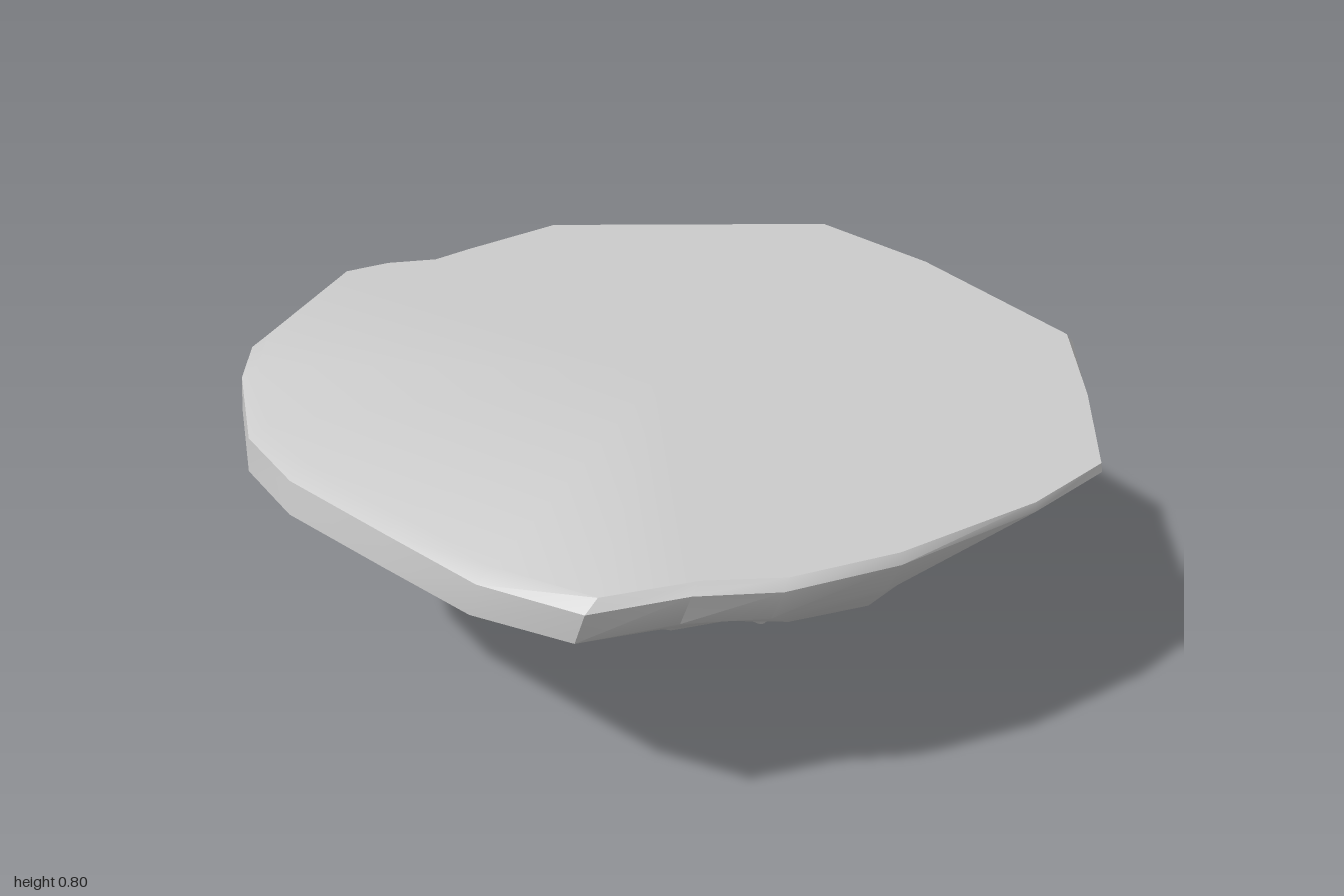
import * as THREE from 'three';
import { toCreasedNormals } from 'three/addons/utils/BufferGeometryUtils.js';

// Rim outline of the plateau, [x, z], running from the right side round the front
const RIM = [
  [1, -0.17], [1, 0.12], [1, 0.4], [0.8, 0.68], [0.58, 0.95], [0.33, 1], [-0.06, 1], [-0.33, 0.95],
  [-0.5, 0.86], [-0.72, 0.8], [-0.85, 0.58], [-0.92, 0.3], [-1, -0.03], [-1, -0.27], [-0.89, -0.58],
  [-0.8, -0.73], [-0.43, -1], [-0.3, -0.99], [-0.17, -0.94], [-0.05, -0.955], [0.25, -0.98],
  [0.6, -0.76], [0.93, -0.55],
];

// Cross-sections from plateau to tip:
// y, xMin, xMax, zMin, zMax, centre x, centre z, then the hollowing of
// the front-right wall, the back-right wall and the right corner
const LEVELS = [
  [0.80, -0.94, 0.98, -0.99, 0.99, 0, 0, 1, 1, 1],
  [0.775, -0.99, 1.00, -1.00, 1.00, 0, 0, 0.99, 0.98, 1],
  [0.69, -1.00, 1.00, -1.00, 0.96, 0, 0, 0.9, 0.88, 0.99],
  [0.60, -0.68, 0.95, -0.90, 0.88, 0, 0, 0.86, 0.8, 0.94],
  [0.51, -0.49, 0.88, -0.77, 0.75, 0.05, 0, 0.84, 0.84, 0.84],
  [0.41, -0.46, 0.69, -0.53, 0.61, 0.10, 0.02, 0.84, 0.82, 0.78],
  [0.33, -0.43, 0.61, -0.42, 0.44, 0.14, 0.03, 0.88, 0.84, 0.8],
  [0.28, -0.30, 0.56, -0.36, 0.33, 0.17, 0.04, 0.94, 0.85, 0.82],
  [0.22, -0.13, 0.51, -0.29, 0.20, 0.20, 0.04, 1, 0.85, 0.85],
  [0.10, 0.05, 0.44, -0.18, 0.14, 0.23, 0.05, 1, 0.9, 0.9],
  [0.055, 0.15, 0.41, 0.00, 0.12, 0.25, 0.06, 1, 1, 1],
  [0.00, 0.24, 0.27, 0.04, 0.10, 0.255, 0.07, 1, 1, 1],
];

// Fit the rim outline into one level's extents, hollowing three stretches of wall
function ring([y, x0, x1, z0, z1, cx, cz, front, back, corner]) {
  return RIM.flatMap(([ox, oz]) => {
    let k = 1;
    if (ox > 0.3 && oz > 0.6) k = front;
    else if (ox > 0.9 && oz < -0.5) k = corner;
    else if (ox > 0.1 && oz < -0.5) k = back;
    return [
      cx + k * ox * (ox > 0 ? x1 - cx : cx - x0),
      y,
      cz + k * oz * (oz > 0 ? z1 - cz : cz - z0),
    ];
  });
}

function rockGeometry() {
  const n = RIM.length;
  const last = (LEVELS.length - 1) * n;
  const top = last + n, tip = top + 1;
  const pos = [...LEVELS.flatMap(ring), 0, 0.8, 0, 0.255, 0, 0.07];
  const index = [];
  for (let i = 0; i < n; i++) {
    const j = (i + 1) % n;
    // Side walls
    for (let l = 0; l < last; l += n) {
      index.push(l + i, l + j, l + n + j, l + i, l + n + j, l + n + i);
    }
    // Flat plateau and tip caps
    index.push(top, j, i, tip, last + i, last + j);
  }
  const geo = new THREE.BufferGeometry();
  geo.setAttribute('position', new THREE.Float32BufferAttribute(pos, 3));
  geo.setIndex(index);
  return toCreasedNormals(geo, 0.6);
}

export function createModel() {
  const group = new THREE.Group();
  group.name = 'floatingRock';
  const rock = new THREE.Mesh(rockGeometry(), new THREE.MeshStandardMaterial({ color: 0xcccccc }));
  rock.name = 'rockIsland';
  group.add(rock);
  return group;
}
